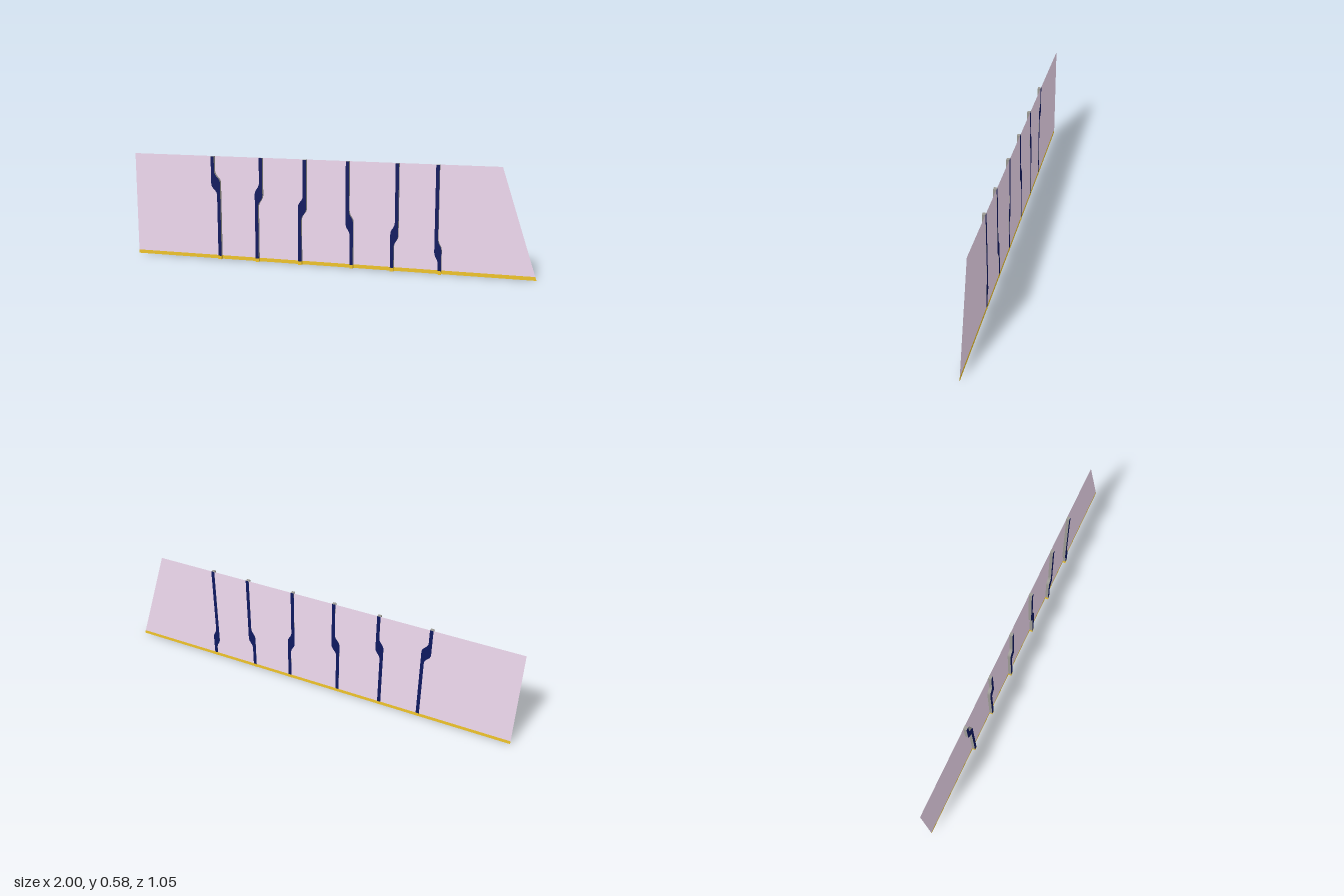
import * as THREE from 'three';

const ANGLE = Math.atan(0.525);      // the panel stands diagonally
const C = Math.cos(ANGLE);
const HEIGHT = 0.585, TRIM = 0.02;   // panel height, bottom trim height
const HALF = 1 / C, TOP_END = 0.83 / C;
const RIB_W = 0.0185, RIB_D = 0.018;
const RIB_BACK = -0.001;             // ribs stand proud of the front, nearly flush at the back

const mat = (color, side = THREE.FrontSide) =>
  new THREE.MeshStandardMaterial({ color, side });

// Flat trapezoid between two heights, following the slanted right end
function slab(y0, y1, material, name) {
  const end = y => HALF + (TOP_END - HALF) * y / HEIGHT;
  const shape = new THREE.Shape([
    new THREE.Vector2(-HALF, y0), new THREE.Vector2(end(y0), y0),
    new THREE.Vector2(end(y1), y1), new THREE.Vector2(-HALF, y1),
  ]);
  const mesh = new THREE.Mesh(new THREE.ShapeGeometry(shape), material);
  mesh.name = name;
  return mesh;
}

// Rib that jogs sideways at height yc; the leading edge moves first, so it widens there
function ribGeometry(top, bottom, yc) {
  const w = RIB_W / 2, early = [yc + 0.07, yc], late = [yc, yc - 0.07];
  const [left, right] = bottom > top ? [late, early] : [early, late];
  const s = new THREE.Shape();
  const jog = (x0, y0, x1, y1) => {
    const m = (y0 + y1) / 2;
    s.lineTo(x0, y0);
    s.bezierCurveTo(x0, m, x1, m, x1, y1);
  };
  s.moveTo(bottom - w, TRIM);
  s.lineTo(bottom + w, TRIM);
  jog(bottom + w, right[1], top + w, right[0]);
  s.lineTo(top + w, HEIGHT);
  s.lineTo(top - w, HEIGHT);
  jog(top - w, left[0], bottom - w, left[1]);
  s.closePath();
  return new THREE.ExtrudeGeometry(s, { depth: RIB_D, bevelEnabled: false, curveSegments: 10 })
    .translate(0, 0, RIB_BACK);
}

export function createModel() {
  const model = new THREE.Group();
  model.name = 'ribbedPanel';
  model.rotation.y = ANGLE;

  const gold = mat(0xf0c42a, THREE.DoubleSide);
  const navy = mat(0x0e1860);
  const grey = mat(0x9c9a94);

  model.add(slab(TRIM, HEIGHT, mat(0xf0daf0, THREE.DoubleSide), 'panel'));
  model.add(slab(0, TRIM, gold, 'bottomTrim'));

  // Ribs: x at the top, x at the bottom, height of the jog
  const ribs = [
    [-0.576, -0.546, 0.435],
    [-0.325, -0.348, 0.38],
    [-0.102, -0.127, 0.32],
    [0.111, 0.131, 0.25],
    [0.350, 0.329, 0.20],
    [0.539, 0.556, 0.125],
  ];
  ribs.forEach(([top, bottom, yc], i) => {
    const rib = new THREE.Mesh(ribGeometry(top / C, bottom / C, yc), [navy, grey]);
    rib.name = `rib${i + 1}`;
    const foot = new THREE.Mesh(new THREE.BoxGeometry(RIB_W, TRIM, RIB_D), gold);
    foot.name = `ribFoot${i + 1}`;
    foot.position.set(bottom / C, TRIM / 2, RIB_BACK + RIB_D / 2);
    model.add(rib, foot);
  });

  const root = new THREE.Group();
  root.add(model);
  return root;
}
